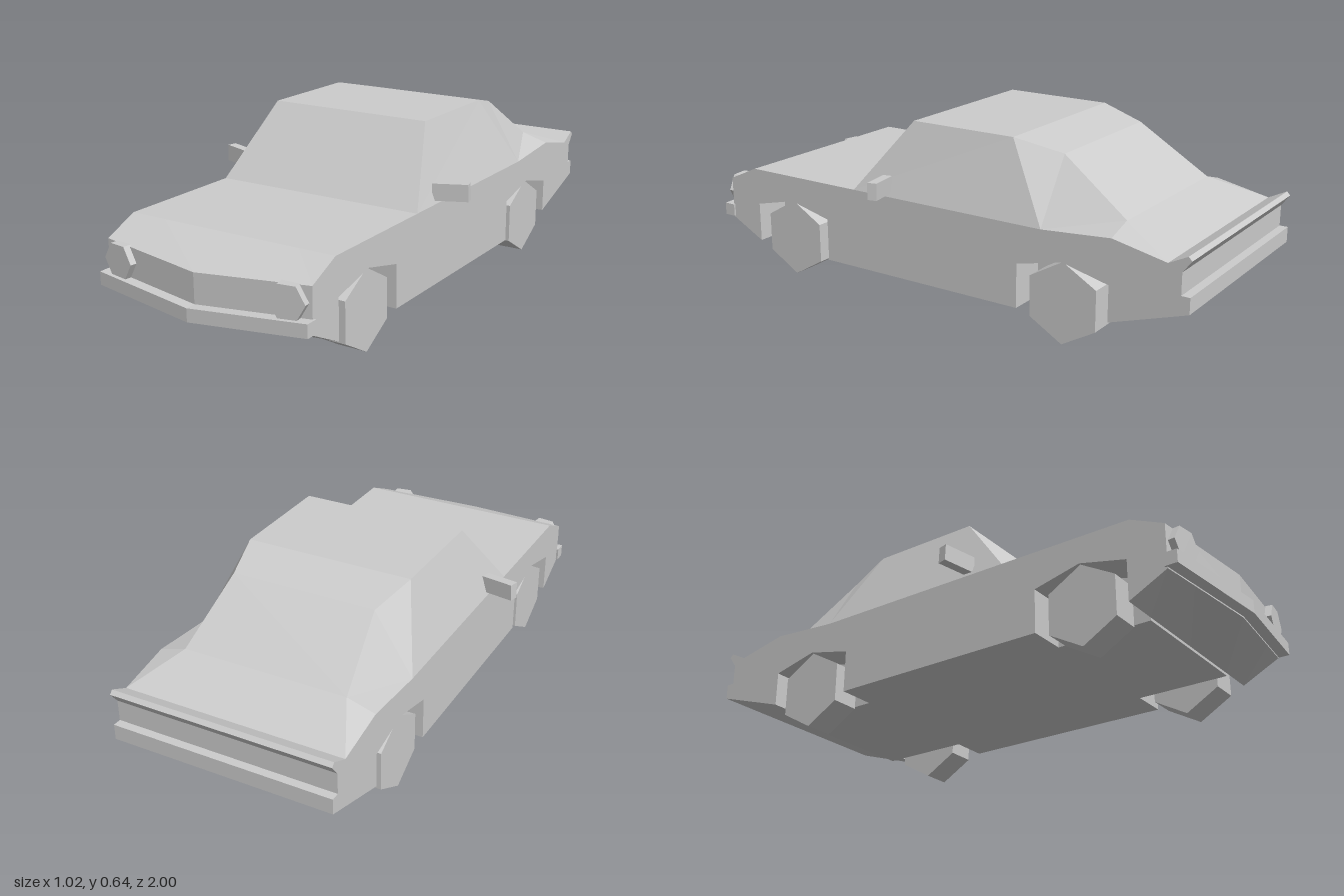
import * as THREE from 'three';

const paint = new THREE.MeshStandardMaterial({ color: 0xcccccc, flatShading: true, side: THREE.DoubleSide });
paint.name = 'plainGrey';

const HALF = 0.4;      // half width of the body
const WELL = 0.265;    // inner wall of the wheel wells
const AXLES = [0.6, -0.555];

// Fan-triangulated polygons, each a list of [x, y, z] corners
function polyGeometry(polys) {
  const out = [];
  for (const p of polys)
    for (let i = 1; i < p.length - 1; i++) out.push(...p[0], ...p[i], ...p[i + 1]);
  const g = new THREE.BufferGeometry();
  g.setAttribute('position', new THREE.Float32BufferAttribute(out, 3));
  g.computeVertexNormals();
  return g;
}

// The nose comes to a shallow V: forward and lower towards the middle
function nosePoint(x, [z, y]) {
  const k = z > 0.85 ? 1 - Math.abs(x) / HALF : 0;
  return [x, y - 0.02 * k, z + 0.055 * k];
}

// Sweep a [z, y] profile across x between neighbouring columns
function strip(profile, columns) {
  const polys = [];
  for (let c = 0; c < columns.length - 1; c++)
    for (let i = 0; i < profile.length - 1; i++) {
      const [x0, x1, a, b] = [columns[c], columns[c + 1], profile[i], profile[i + 1]];
      polys.push([nosePoint(x0, a), nosePoint(x0, b), nosePoint(x1, b), nosePoint(x1, a)]);
    }
  return polyGeometry(polys);
}

// Flat panel from [z, y] points, facing outward on side s
function sidePanel(points, s, x) {
  const shape = new THREE.Shape(points.map(([z, y]) => new THREE.Vector2(-s * z, y)));
  return new THREE.ShapeGeometry(shape).rotateY(s * Math.PI / 2).translate(s * x, 0, 0);
}

const wellProfile = (z, yFront, yBack) => [
  [z + 0.17, yFront], [z + 0.17, 0.245], [z, 0.285], [z - 0.17, 0.245], [z - 0.17, yBack]];

export function createModel() {
  const model = new THREE.Group();
  model.name = 'car';
  const add = (name, geometry) => {
    const m = new THREE.Mesh(geometry, paint);
    m.name = name;
    model.add(m);
    return m;
  };

  // Lower body: bonnet, nose, underside, tail and spoiler lip
  const front = [[0.3, 0.38], [0.785, 0.38], [0.907, 0.325], [0.907, 0.22], [0.907, 0.17]];
  const rear = [[-1, 0.21], [-1, 0.265], [-0.97, 0.265], [-0.97, 0.34], [-1, 0.38],
    [-0.988, 0.393], [-0.922, 0.36]];
  const middle = [...front, [0.77, 0.1], [0.77, 0.09], [-0.725, 0.09], [-0.725, 0.12], ...rear];
  const outer = [...front, ...wellProfile(AXLES[0], 0.1, 0.09), ...wellProfile(AXLES[1], 0.09, 0.12), ...rear];
  add('bodyMiddle', strip(middle, [-WELL, 0, WELL]));

  // Cabin top: boot lid, rear window, roof and windscreen as [z, y, half width]
  const top = [[-0.922, 0.36, HALF], [-0.73, 0.43, 0.3], [-0.48, 0.6, 0.265],
    [-0.31, 0.64, 0.308], [0.095, 0.64, 0.31], [0.3, 0.38, HALF]];
  const names = ['bootLid', 'rearWindow', 'rearRoof', 'roof', 'windscreen'];
  names.forEach((name, i) => {
    const [a, b] = [top[i], top[i + 1]];
    add(name, polyGeometry([[[-a[2], a[1], a[0]], [-b[2], b[1], b[0]], [b[2], b[1], b[0]], [a[2], a[1], a[0]]]]));
  });

  // Corners of the cabin flank on the left side
  const [tail, lid, glass, roofBack, roofFront, screen] = top.map(([z, y, w]) => [w, y, z]);
  const hip = [HALF, 0.38, -0.475];
  const haunch = [HALF, 0.4, -0.73];
  const flank = [
    [screen, hip, roofBack, roofFront],
    [hip, glass, roofBack],
    [hip, lid, glass],
    [hip, haunch, lid],
    [haunch, tail, lid]];

  for (const s of [1, -1]) {
    const side = s > 0 ? 'left' : 'right';

    // Outer body with the wheel wells cut out
    add(side + 'BodyEdge', strip(outer, s > 0 ? [WELL, HALF] : [-HALF, -WELL]));
    add(side + 'BodySide', sidePanel([...outer, [-0.73, 0.4], [-0.475, 0.38]], s, HALF));
    add(side + 'CabinSide', polyGeometry(flank.map(p => {
      const q = p.map(([x, y, z]) => [s * x, y, z]);
      return s > 0 ? q : q.reverse();
    })));

    // Wheels and the inner walls of their wells
    AXLES.forEach((z, i) => {
      const end = i ? 'Rear' : 'Front';
      add(side + end + 'WellWall', sidePanel(wellProfile(z, 0.09, 0.09), s, WELL));
      const wheel = new THREE.CylinderGeometry(0.142, 0.142, 0.105, 6, 1, false, Math.PI / 2);
      add(side + end + 'Wheel', wheel.rotateZ(Math.PI / 2)).position.set(s * 0.34, 0.142, z);
    });

    // Hexagonal headlight, square to the slanted nose
    const lamp = new THREE.CylinderGeometry(0.063, 0.063, 0.036, 6, 1, false, Math.PI / 2);
    const headlight = add(side + 'Headlight', lamp.rotateX(Math.PI / 2));
    headlight.position.set(s * 0.328, 0.27, 0.923);
    headlight.rotation.y = s * 0.135;

    // Wing mirror
    const mirror = add(side + 'Mirror', new THREE.BoxGeometry(0.125, 0.06, 0.034));
    mirror.position.set(s * 0.443, 0.424, 0.145);
    mirror.rotation.set(0, s * 0.24, s * 0.05);
  }

  // Front bumper: chevron in plan, dipping at the middle
  const plan = [[-0.408, 0.945], [0, 1], [0.408, 0.945], [0.408, 0.9], [0, 0.95], [-0.408, 0.9]];
  const bumper = new THREE.ExtrudeGeometry(
    new THREE.Shape(plan.map(([x, z]) => new THREE.Vector2(x, -z))), { depth: 0.046, bevelEnabled: false });
  bumper.rotateX(-Math.PI / 2).translate(0, 0.175, 0);
  const pos = bumper.attributes.position;
  for (let i = 0; i < pos.count; i++)
    pos.setY(i, pos.getY(i) - 0.02 * (1 - Math.abs(pos.getX(i)) / 0.408));
  bumper.computeVertexNormals();
  add('frontBumper', bumper);

  return model;
}
